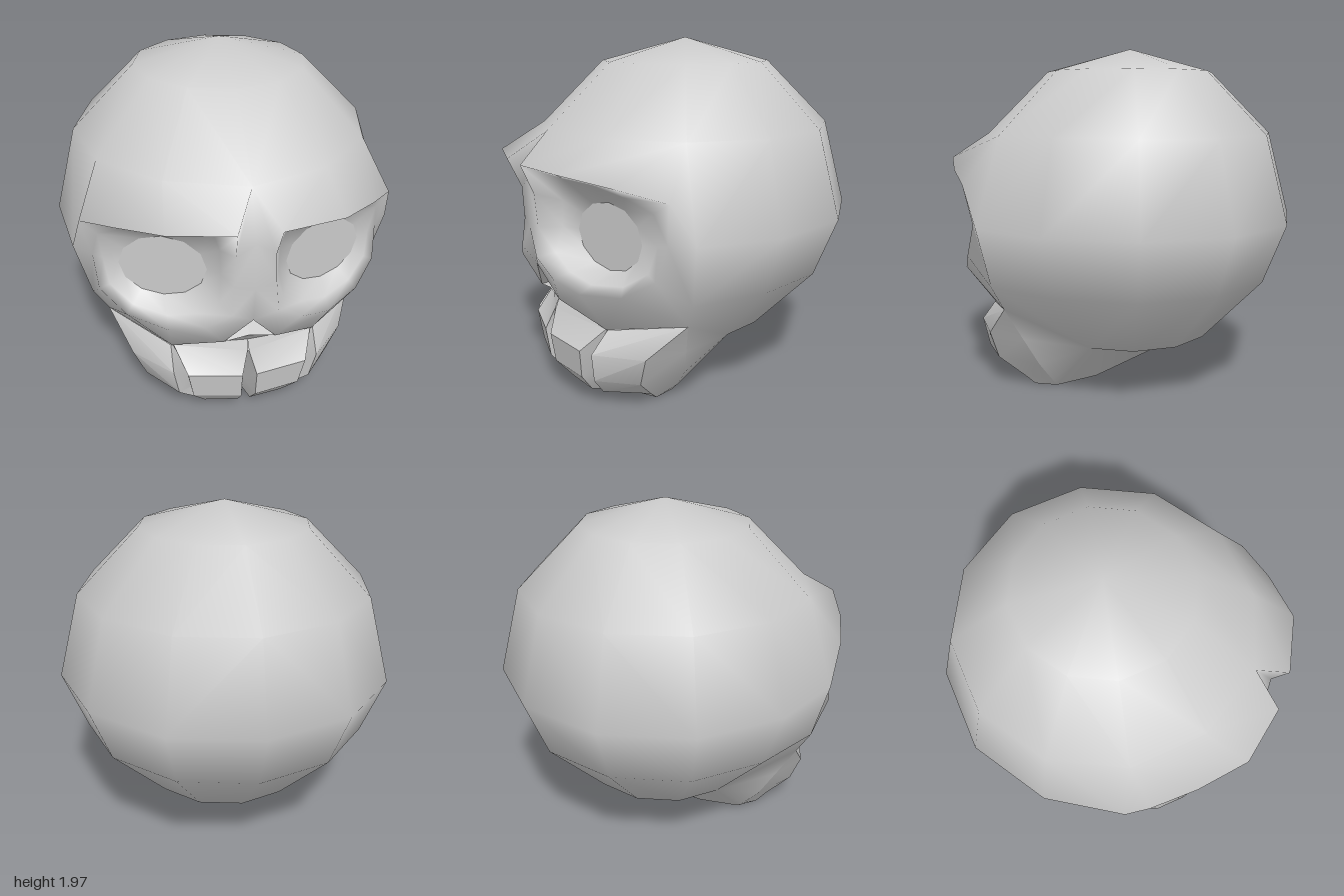
import * as THREE from 'three';
import { mergeVertices, toCreasedNormals } from 'three/addons/utils/BufferGeometryUtils.js';

// Collects triangles of the left half (+x) and mirrors each to the right
function halfBuilder() {
  const data = [];
  const tri = (a, b, c) => {
    data.push(...a, ...b, ...c);
    for (const [x, y, z] of [a, c, b]) data.push(-x, y, z);
  };
  const quad = (a, b, c, d) => { tri(a, b, c); tri(a, c, d); };
  const build = (crease) => {
    const g = new THREE.BufferGeometry();
    g.setAttribute('position', new THREE.Float32BufferAttribute(data, 3));
    if (crease !== undefined) return toCreasedNormals(g, crease);
    const m = mergeVertices(g, 1e-4);
    m.computeVertexNormals();
    return m;
  };
  return { tri, quad, build };
}

export function createModel() {
  const group = new THREE.Group();
  const material = new THREE.MeshStandardMaterial({ color: 0xcccccc, side: THREE.DoubleSide });
  const add = (name, geometry) => {
    const mesh = new THREE.Mesh(geometry, material);
    mesh.name = name;
    group.add(mesh);
  };

  // Cranium: 12-sided ball with a flattened base, column 0 at the front
  const rowY = [1.97, 1.84, 1.49, 1.01, 0.68, 0.31];
  const ball = rowY.map((y, i) => Array.from({ length: 7 }, (_, j) => {
    const r = 0.955 * Math.sin(i * Math.PI / 6), a = j * Math.PI / 6;
    return [r * Math.sin(a), y, -0.045 + r * Math.cos(a)];
  }));
  const basePole = [0, 0.18, -0.2];
  ball.push(Array(7).fill(basePole));
  ball[2][0] = [0, 1.49, 0.81];
  ball[3][2] = [0.88, 1.01, 0.41];
  ball[4][2] = [0.80, 0.68, 0.38];
  const head = halfBuilder();
  for (let i = 0; i < 6; i++) {
    for (let j = 0; j < 6; j++) {
      if (i >= 2 && j < (i < 4 ? 2 : 3)) continue; // opening for face and jaw
      head.quad(ball[i + 1][j], ball[i + 1][j + 1], ball[i][j + 1], ball[i][j]);
    }
  }

  // Face: loops around the eye, from the socket floor over the rim to the border
  const eye = Array.from({ length: 12 }, (_, k) => {
    const t = k * Math.PI / 6, x = 0.43 - 0.22 * Math.cos(t);
    return [x, 0.99 + 0.18 * Math.sin(t), 0.73 - 0.34 * (x - 0.21)];
  });
  const rim = [
    [0.11, 1.0, 0.92], [0.10, 1.18, 0.93], [0.11, 1.34, 1.0], [0.44, 1.34, 0.93],
    [0.66, 1.29, 0.73], [0.83, 1.23, 0.53], [0.78, 1.01, 0.51], [0.76, 0.83, 0.57],
    [0.63, 0.73, 0.69], [0.43, 0.71, 0.83], [0.25, 0.75, 0.90], [0.12, 0.84, 0.94],
  ];
  // the socket wall is hollowed under the brow and beside the nose
  const wall = eye.map((e, k) => e.map((v, axis) =>
    v + (rim[k][axis] - v) * (axis === 2 && k < 6 ? 0.35 : 0.6)));
  const cheekBack = [0.72, 0.54, 0.36], cheekLow = [0.40, 0.47, 0.67];
  const noseSide = [0.14, 0.585, 0.83], noseTop = [0, 0.765, 0.90];
  const border = [
    [0, 0.98, 0.93], [0, 1.24, 0.925], ball[2][0], ball[2][1],
    ball[2][2], ball[2][2], ball[3][2], ball[4][2],
    cheekBack, cheekLow, noseSide, noseTop,
  ];
  const loops = [eye, wall, rim, border];
  for (let k = 0; k < 12; k++) {
    const n = (k + 1) % 12;
    for (let l = 0; l < 3; l++) {
      head.quad(loops[l][k], loops[l][n], loops[l + 1][n], loops[l + 1][k]);
    }
  }
  const noseBase = [0, 0.61, 0.83], lip = [0, 0.54, 0.78];
  head.quad(noseBase, lip, cheekLow, noseSide);

  // Jaw outlines (x, z) from top to bottom, with notches between the teeth
  const topY = [0.48, 0.48, 0.47, 0.47, 0.47, 0.54, 0.54];
  const outlines = [
    [topY, [[0, 0.80], [0.004, 0.805], [0.39, 0.67], [0.395, 0.655], [0.405, 0.668], [0.72, 0.36], [0.72, 0.36]]],
    [0.35, [[0, 0.72], [0.04, 0.855], [0.33, 0.80], [0.34, 0.64], [0.405, 0.765], [0.61, 0.55], [0.62, 0.31]]],
    [0.18, [[0, 0.69], [0.04, 0.83], [0.30, 0.78], [0.305, 0.62], [0.375, 0.74], [0.54, 0.545], [0.53, 0.265]]],
    [0.05, [[0, 0.60], [0.035, 0.72], [0.225, 0.69], [0.24, 0.55], [0.285, 0.65], [0.44, 0.43], [0.42, 0.25]]],
    [0.0, [[0, 0.40], [0.035, 0.52], [0.21, 0.50], [0.19, 0.40], [0.27, 0.47], [0.41, 0.38], [0.37, 0.25]]],
  ].map(([y, pts]) => pts.map(([x, z], j) => [x, Array.isArray(y) ? y[j] : y, z]));
  const bottom = outlines[4];

  // Smooth underside between the jaw corners and the cranium
  const side = ball[5][3], under = [0.2, 0.03, 0.08], underMid = [0, 0.04, 0.05];
  head.tri(ball[4][2], side, ball[4][3]);
  head.tri(cheekBack, side, ball[4][2]);
  for (let l = 0; l < 4; l++) head.tri(outlines[l][6], outlines[l + 1][6], side);
  head.tri(bottom[6], under, side);
  head.tri(under, basePole, side);
  head.tri(under, underMid, basePole);
  add('cranium', head.build());

  // Jaw front, sides and floor
  const jaw = halfBuilder();
  for (let j = 0; j < 6; j++) {
    for (let l = 0; l < 4; l++) {
      const a = outlines[l], b = outlines[l + 1];
      jaw.quad(b[j], b[j + 1], a[j + 1], a[j]);
    }
  }
  jaw.tri(lip, outlines[0][1], cheekLow);
  const floor = [...bottom, under, underMid];
  for (let j = 0; j < 8; j++) jaw.tri(floor[j + 1], floor[j], [0, 0, 0.3]);
  add('jawAndTeeth', jaw.build(0.5));

  // Flat eye socket floors
  const sockets = halfBuilder();
  const eyeCentre = [0.43, 0.99, 0.655];
  eye.forEach((p, k) => sockets.tri(p, eyeCentre, eye[(k + 1) % 12]));
  add('eyeSockets', sockets.build(0.3));

  // Recessed nose opening
  const nose = halfBuilder();
  const noseDeep = [0, 0.66, 0.70];
  nose.tri(noseTop, noseDeep, noseSide);
  nose.tri(noseDeep, noseBase, noseSide);
  add('noseOpening', nose.build(0.3));

  return group;
}
